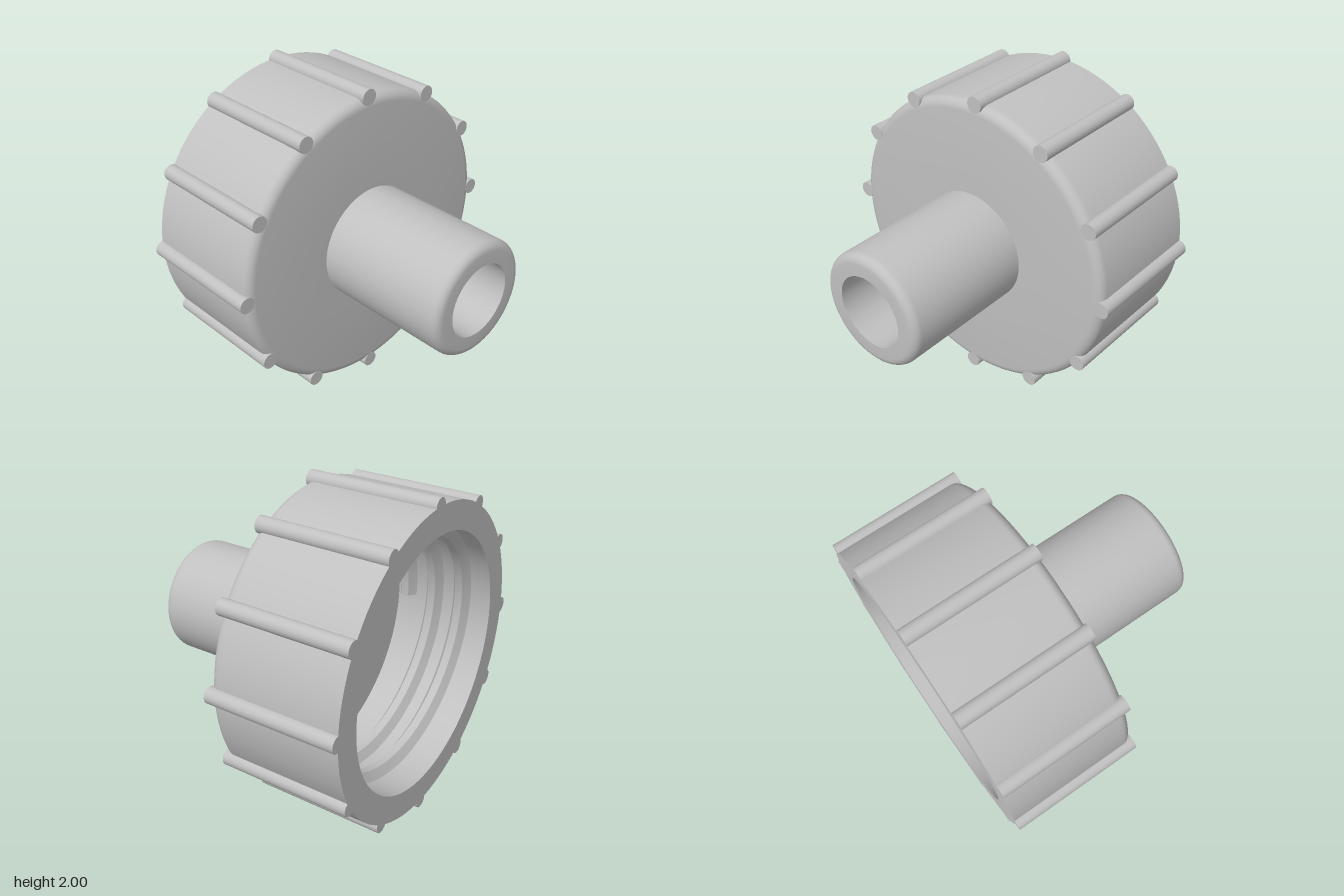
import * as THREE from 'three';
import { toCreasedNormals } from 'three/addons/utils/BufferGeometryUtils.js';

const BACK = -0.845, FACE = -0.025, TIP = 0.845, FLOOR = -0.2;
const CAP_R = 0.95, CAVITY_R = 0.78, NOZZLE_R = 0.36, BORE_R = 0.228;

// quarter-round edge from the side wall onto a front face
function fillet(radius, z, size, steps = 6) {
  return Array.from({ length: steps + 1 }, (_, i) => {
    const a = (i / steps) * Math.PI / 2;
    return new THREE.Vector2(radius - size + size * Math.cos(a), z - size + size * Math.sin(a));
  });
}

// helical ridge on the cavity wall, swept from a trapezoid section
function threadGeometry(turns, pitch, zStart) {
  const section = [[CAVITY_R + 0.01, -0.065], [0.725, -0.025], [0.725, 0.025], [CAVITY_R + 0.01, 0.065]];
  const steps = Math.round(turns * 72), pos = [], idx = [];
  for (let i = 0; i <= steps; i++) {
    const t = (i / steps) * turns, a = t * Math.PI * 2;
    for (const [r, dz] of section) pos.push(r * Math.cos(a), r * Math.sin(a), zStart + t * pitch + dz);
  }
  for (let i = 0; i < steps; i++) {
    for (let j = 0; j < 3; j++) {
      const a = i * 4 + j, b = a + 1, c = a + 5, d = a + 4;
      idx.push(a, b, c, a, c, d);
    }
  }
  const e = steps * 4;
  idx.push(0, 2, 1, 0, 3, 2, e, e + 1, e + 2, e, e + 2, e + 3);
  const geo = new THREE.BufferGeometry();
  geo.setAttribute('position', new THREE.Float32BufferAttribute(pos, 3));
  geo.setIndex(idx);
  return toCreasedNormals(geo, 0.5);
}

export function createModel() {
  const model = new THREE.Group();
  model.name = 'threadedHoseCap';
  const grey = new THREE.MeshStandardMaterial({ color: 0xc0c0c0 });
  grey.name = 'greyPlastic';

  const add = (name, geo) => {
    const mesh = new THREE.Mesh(geo, grey);
    mesh.name = name;
    mesh.position.y = 1;
    model.add(mesh);
    return mesh;
  };

  // cap, nozzle, bore and cavity as one turned profile
  const v = (r, z) => new THREE.Vector2(r, z);
  const profile = [
    v(CAVITY_R, BACK), v(CAP_R, BACK),
    ...fillet(CAP_R, FACE, 0.06),
    v(NOZZLE_R, FACE),
    ...fillet(NOZZLE_R, TIP, 0.055),
    v(BORE_R, TIP), v(BORE_R, FLOOR),
    v(CAVITY_R, FLOOR), v(CAVITY_R, BACK),
  ];
  const body = new THREE.LatheGeometry(profile, 96).rotateX(Math.PI / 2);
  add('capAndNozzle', toCreasedNormals(body, 0.5));

  // internal screw thread
  add('screwThread', threadGeometry(2.5, 0.19, BACK + 0.1));

  // grip ribs around the rim
  const ribGeo = new THREE.CylinderGeometry(0.05, 0.05, FACE - BACK, 24).rotateX(Math.PI / 2);
  for (let i = 0; i < 12; i++) {
    const a = (i * Math.PI) / 6;
    add('gripRib', ribGeo).position.set(CAP_R * Math.cos(a), 1 + CAP_R * Math.sin(a), (BACK + FACE) / 2);
  }
  return model;
}
